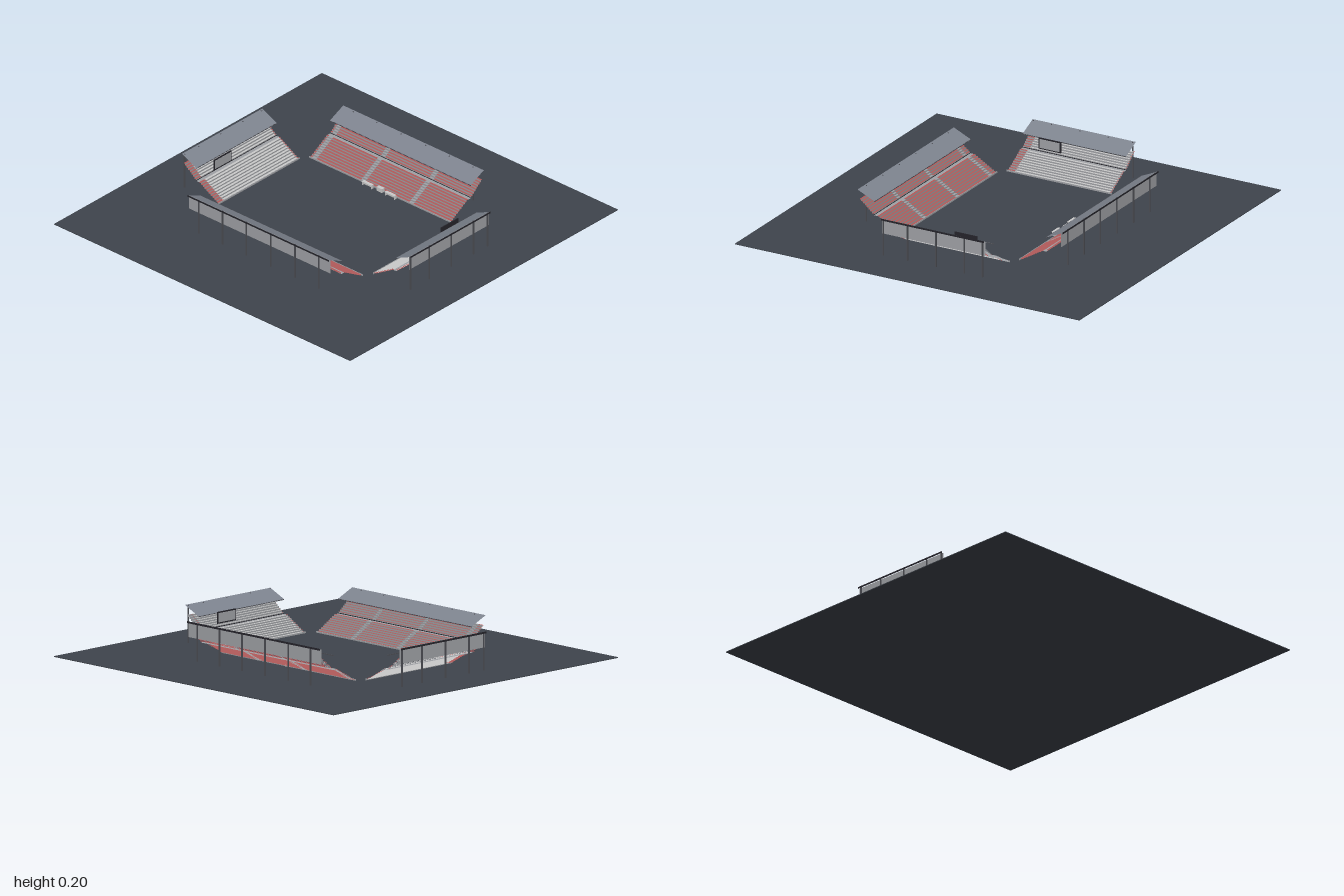
import * as THREE from 'three';

const mat = (name, color) => {
  const m = new THREE.MeshStandardMaterial({ color });
  m.name = name;
  return m;
};

// Open sheet along x from a to b, made of [y, z] -> [y, z] segments
function sheet(a, b, segments) {
  const pos = [];
  for (const [[y1, z1], [y2, z2]] of segments) {
    pos.push(a, y1, z1, b, y2, z2, b, y1, z1);
    pos.push(a, y1, z1, a, y2, z2, b, y2, z2);
  }
  const g = new THREE.BufferGeometry();
  g.setAttribute('position', new THREE.Float32BufferAttribute(pos, 3));
  g.computeVertexNormals();
  return g;
}

export function createModel() {
  const ground = mat('asphalt', 0x3f444c);
  const red = mat('red seats', 0xb25a5a);
  const white = mat('white seats', 0xcacaca);
  const concrete = mat('concrete', 0xa0a2a6);
  const roofing = mat('roof sheet', 0x7d838e);
  const steel = mat('steel', 0x4c4d53);
  const dark = mat('dark trim', 0x25242b);

  const model = new THREE.Group();
  const add = (parent, name, geo, material, x = 0, y = 0, z = 0) => {
    const m = new THREE.Mesh(geo, material);
    m.name = name;
    m.position.set(x, y, z);
    parent.add(m);
    return m;
  };
  const box = (parent, name, material, w, h, d, x, y, z) =>
    add(parent, name, new THREE.BoxGeometry(w, h, d), material, x, y, z);

  box(model, 'ground', ground, 2, 0.004, 2, 0, 0.002, 0);

  // Stepped tier: list of vertical risers and level treads
  function steps(y, z, rise, run, rows) {
    const risers = [], treads = [];
    for (let i = 0; i < rows; i++) {
      const y0 = y + i * rise, z0 = z + i * run;
      risers.push([[y0, z0], [y0 + rise, z0]]);
      treads.push([[y0 + rise, z0], [y0 + rise, z0 + run]]);
    }
    return { risers, treads };
  }

  // One stand: pitch side at z = depth, outside towards +z
  function stand({ name, turn, depth, from, to, spans, columns, board }) {
    const g = new THREE.Group();
    g.name = name;
    g.rotation.y = turn;
    model.add(g);
    const d = (v) => depth + v;
    const len = to - from, mid = (from + to) / 2;

    // Seating in two tiers, with aisles between the blocks
    const lower = steps(0.004, d(0), 0.0076, 0.013, 10);
    const upper = steps(0.08, d(0.15), 0.0088, 0.0105, 8);
    add(g, 'risers', sheet(from, to, [...lower.risers, ...upper.risers]), concrete);
    for (const [a, b, material] of spans) {
      const part = material === concrete ? 'aisle' : 'seatBlock';
      add(g, part, sheet(a, b, [...lower.treads, ...upper.treads]), material);
    }
    add(g, 'walkway', sheet(from, to, [[[0.08, d(0.13)], [0.08, d(0.15)]]]), concrete);
    add(g, 'walkwayTrim', sheet(from, to, [[[0.08, d(0.149)], [0.084, d(0.149)]]]), dark);
    box(g, 'pitchWall', concrete, len + 0.01, 0.01, 0.003, mid, 0.007, d(-0.003));

    // Roof falling towards the pitch, outer panels and trim
    add(g, 'roof', sheet(from, to, [[[0.155, d(0.145)], [0.2, d(0.245)]]]), roofing);
    box(g, 'roofFrontBeam', steel, len, 0.004, 0.003, mid, 0.154, d(0.147));
    add(g, 'outerPanels', sheet(from, to, [[[0.197, d(0.234)], [0.12, d(0.234)]]]), concrete);
    add(g, 'roofTrim', sheet(from, to, [[[0.203, d(0.245)], [0.193, d(0.245)]]]), dark);

    for (const x of columns) {
      box(g, 'column', steel, 0.006, 0.195, 0.006, x, 0.1, d(0.237));
    }

    if (board !== undefined) {
      box(g, 'scoreboardFrame', dark, 0.13, 0.06, 0.005, board, 0.135, d(0.125));
      box(g, 'scoreboardFace', concrete, 0.118, 0.048, 0.001, board, 0.135, d(0.1217));
    }
  }

  // Seat blocks of one colour, cut by aisles at the given centres
  function blocks(from, to, aisles, material) {
    const spans = [];
    let a = from;
    for (const c of aisles) {
      spans.push([a, c - 0.014, material], [c - 0.014, c + 0.014, concrete]);
      a = c + 0.014;
    }
    spans.push([a, to, material]);
    return spans;
  }

  const longColumns = [-0.4, -0.24, -0.08, 0.085, 0.25, 0.41];
  const sideColumns = [-0.28, -0.14, 0.025, 0.19, 0.295];

  stand({
    name: 'frontStand', turn: 0, depth: 0.345, from: -0.47, to: 0.485,
    spans: blocks(-0.47, 0.485, [-0.42, -0.092, 0.235], red), columns: longColumns,
  });
  stand({
    name: 'backStand', turn: Math.PI, depth: 0.345, from: -0.465, to: 0.485,
    spans: blocks(-0.465, 0.485, [-0.196, 0.13, 0.46], red), columns: longColumns,
  });
  stand({
    name: 'minusXStand', turn: -Math.PI / 2, depth: 0.52, from: -0.295, to: 0.305,
    spans: [[-0.295, -0.288, red], [-0.288, 0.265, white], [0.265, 0.305, red]],
    columns: sideColumns, board: 0.135,
  });
  stand({
    name: 'plusXStand', turn: Math.PI / 2, depth: 0.52, from: -0.29, to: 0.31,
    spans: [[-0.29, -0.283, red], [-0.283, 0.27, white], [0.27, 0.28, red], [0.28, 0.31, concrete]],
    columns: sideColumns, board: 0.135,
  });

  // Team shelters and the tunnel mouth in front of the back stand
  for (const x of [-0.08, 0.075]) {
    box(model, 'shelterRoof', white, 0.065, 0.003, 0.018, x, 0.025, -0.325);
    box(model, 'shelterBack', white, 0.065, 0.022, 0.002, x, 0.014, -0.333);
    for (const s of [-1, 1]) {
      box(model, 'shelterSide', white, 0.002, 0.022, 0.016, x + s * 0.031, 0.014, -0.325);
    }
  }
  box(model, 'tunnel', white, 0.038, 0.022, 0.02, -0.003, 0.015, -0.336);

  return model;
}
